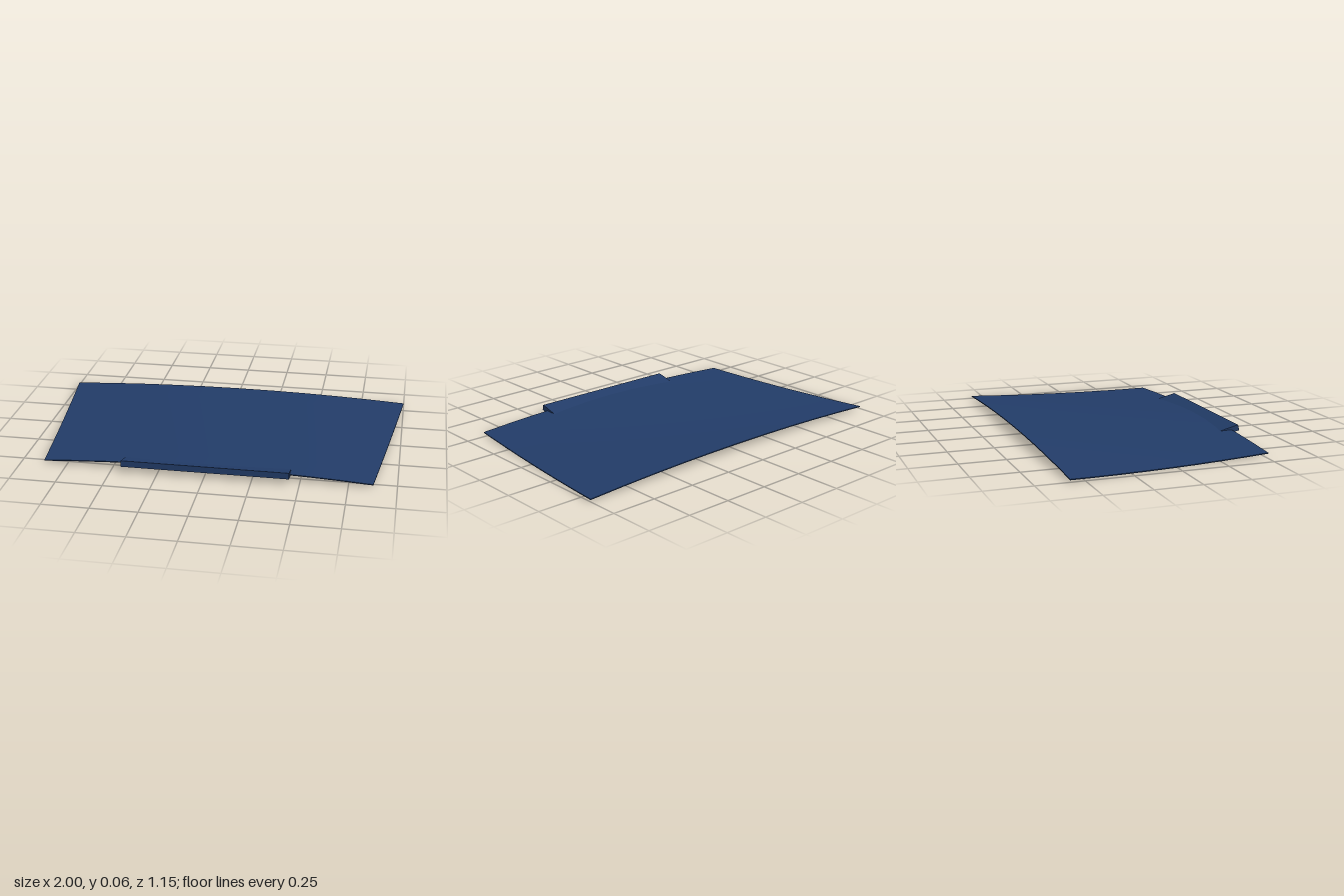
import * as THREE from 'three';
import { toCreasedNormals } from 'three/addons/utils/BufferGeometryUtils.js';

export function createModel() {
  const model = new THREE.Group();
  const material = new THREE.MeshStandardMaterial({ color: 0x223c68 });

  // Thin panel: tapers toward the front, arched across its width, gently dished along its depth
  const back = -0.575, front = 0.53, depth = front - back;
  const panelGeometry = new THREE.BoxGeometry(2, 0.005, depth, 10, 1, 8);
  const p = panelGeometry.attributes.position;
  for (let i = 0; i < p.count; i++) {
    const u = p.getX(i);
    const z = p.getZ(i) + (front + back) / 2;
    const halfWidth = THREE.MathUtils.mapLinear(z, back, front, 1, 0.877);
    p.setXYZ(i, u * halfWidth, p.getY(i) + 0.033 - 0.03 * u * u + 0.03 * z * z, z);
  }
  const panel = new THREE.Mesh(toCreasedNormals(panelGeometry, 0.5), material);
  panel.name = 'panel';
  model.add(panel);

  // Upturned lip bar set into the middle of the front edge
  const lip = new THREE.Mesh(new THREE.BoxGeometry(0.89, 0.032, 0.111), material);
  lip.name = 'frontLip';
  lip.position.set(0, 0.032, 0.518);
  lip.rotation.x = -0.245;
  model.add(lip);

  return model;
}
